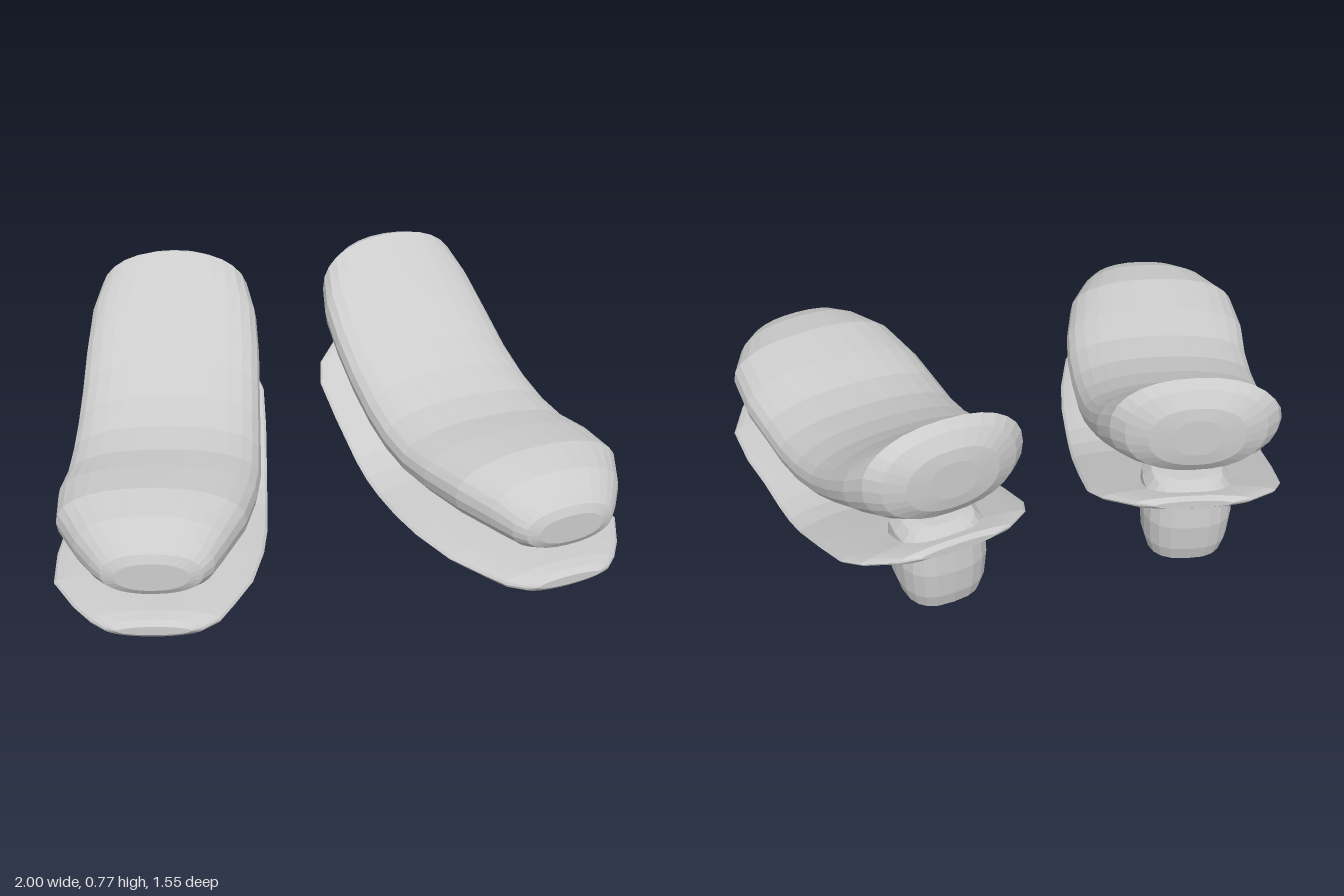
import * as THREE from 'three';

const grey = new THREE.MeshStandardMaterial({ color: 0xcccccc });
grey.name = 'light grey';

// Skin a list of closed rings and cap both ends; faceted normals
function loft(rings, name) {
  const n = rings[0].length, pos = [], idx = [];
  rings.forEach(r => r.forEach(p => pos.push(...p)));
  for (let i = 0; i < rings.length - 1; i++) {
    for (let j = 0; j < n; j++) {
      const k = (j + 1) % n, a = i * n + j, b = i * n + k;
      idx.push(a, b, a + n, b, b + n, a + n);
    }
  }
  [0, rings.length - 1].forEach((ri, end) => {
    const c = [0, 1, 2].map(d => rings[ri].reduce((s, p) => s + p[d], 0) / n);
    const ci = pos.length / 3;
    pos.push(...c);
    for (let j = 0; j < n; j++) {
      const a = ri * n + j, b = ri * n + (j + 1) % n;
      if (end) idx.push(ci, a, b); else idx.push(ci, b, a);
    }
  });
  const indexed = new THREE.BufferGeometry();
  indexed.setAttribute('position', new THREE.Float32BufferAttribute(pos, 3));
  indexed.setIndex(idx);
  const geo = indexed.toNonIndexed();
  geo.computeVertexNormals();
  const mesh = new THREE.Mesh(geo, grey);
  mesh.name = name;
  return mesh;
}

// Unit superellipse: power 2 is round, higher is squarer
function ring(sides, power) {
  return Array.from({ length: sides }, (_, i) => {
    const t = (i / sides) * Math.PI * 2, c = Math.cos(t), s = Math.sin(t);
    const f = v => Math.sign(v) * Math.abs(v) ** (2 / power);
    return [f(c), f(s)];
  });
}

// Upright cross-sections from back to front: [z, bottom, top, half width, sideways shift]
function lengthwise(stations, power, name) {
  const outline = ring(28, power);
  return loft(stations.map(([z, lo, hi, half, shift = 0]) =>
    outline.map(([x, y]) => [shift + x * half, (lo + hi) / 2 + y * (hi - lo) / 2, z])), name);
}

const UPPER = [
  [-0.752, 0.52, 0.66, 0.08], [-0.745, 0.475, 0.705, 0.16], [-0.715, 0.43, 0.757, 0.235],
  [-0.67, 0.405, 0.772, 0.28], [-0.58, 0.37, 0.69, 0.31], [-0.45, 0.31, 0.585, 0.322],
  [-0.3, 0.235, 0.49, 0.326], [-0.15, 0.18, 0.425, 0.33], [0, 0.155, 0.383, 0.334],
  [0.15, 0.15, 0.373, 0.337], [0.3, 0.15, 0.395, 0.338, 0.01], [0.48, 0.15, 0.413, 0.315, 0.018],
  [0.62, 0.15, 0.39, 0.25, 0.01], [0.7, 0.155, 0.355, 0.2], [0.735, 0.17, 0.32, 0.165],
  [0.747, 0.19, 0.29, 0.12],
];

const SOLE = [
  [-0.768, 0.31, 0.34, 0.13], [-0.745, 0.29, 0.345, 0.2], [-0.66, 0.245, 0.315, 0.295],
  [-0.57, 0.2, 0.275, 0.334], [-0.4, 0.13, 0.205, 0.345], [-0.2, 0.045, 0.12, 0.35],
  [-0.1, 0.017, 0.095, 0.352], [0, 0.005, 0.085, 0.354], [0.15, 0.005, 0.085, 0.357],
  [0.3, 0.005, 0.085, 0.357, 0.01], [0.48, 0.005, 0.085, 0.335, 0.022], [0.62, 0.005, 0.085, 0.265, 0.012],
  [0.7, 0.005, 0.085, 0.215], [0.745, 0.012, 0.078, 0.165], [0.763, 0.03, 0.062, 0.12],
];

// Level heel sections from top to bottom: [height, half size]
const HEEL = [
  [0.35, 0.08], [0.34, 0.12], [0.305, 0.148], [0.2, 0.155],
  [0.1, 0.146], [0.045, 0.13], [0.025, 0.105], [0.02, 0.07],
];

function shoe(name) {
  const g = new THREE.Group();
  g.name = name;
  const outline = ring(20, 2.7);
  const heel = loft(HEEL.map(([y, r]) => outline.map(([x, z]) => [x * r, y, z * r - 0.59])), 'heel');
  g.add(lengthwise(UPPER, 2.25, 'footBody'), lengthwise(SOLE, 2, 'sole'), heel);
  return g;
}

export function createModel() {
  const model = new THREE.Group();
  model.name = 'pairOfShoes';
  // Each shoe turns its toe outward
  for (const side of [1, -1]) {
    const s = shoe(side > 0 ? 'leftShoe' : 'rightShoe');
    s.scale.x = side;
    s.position.x = side * 0.553;
    s.rotation.y = side * 0.2;
    model.add(s);
  }
  return model;
}
